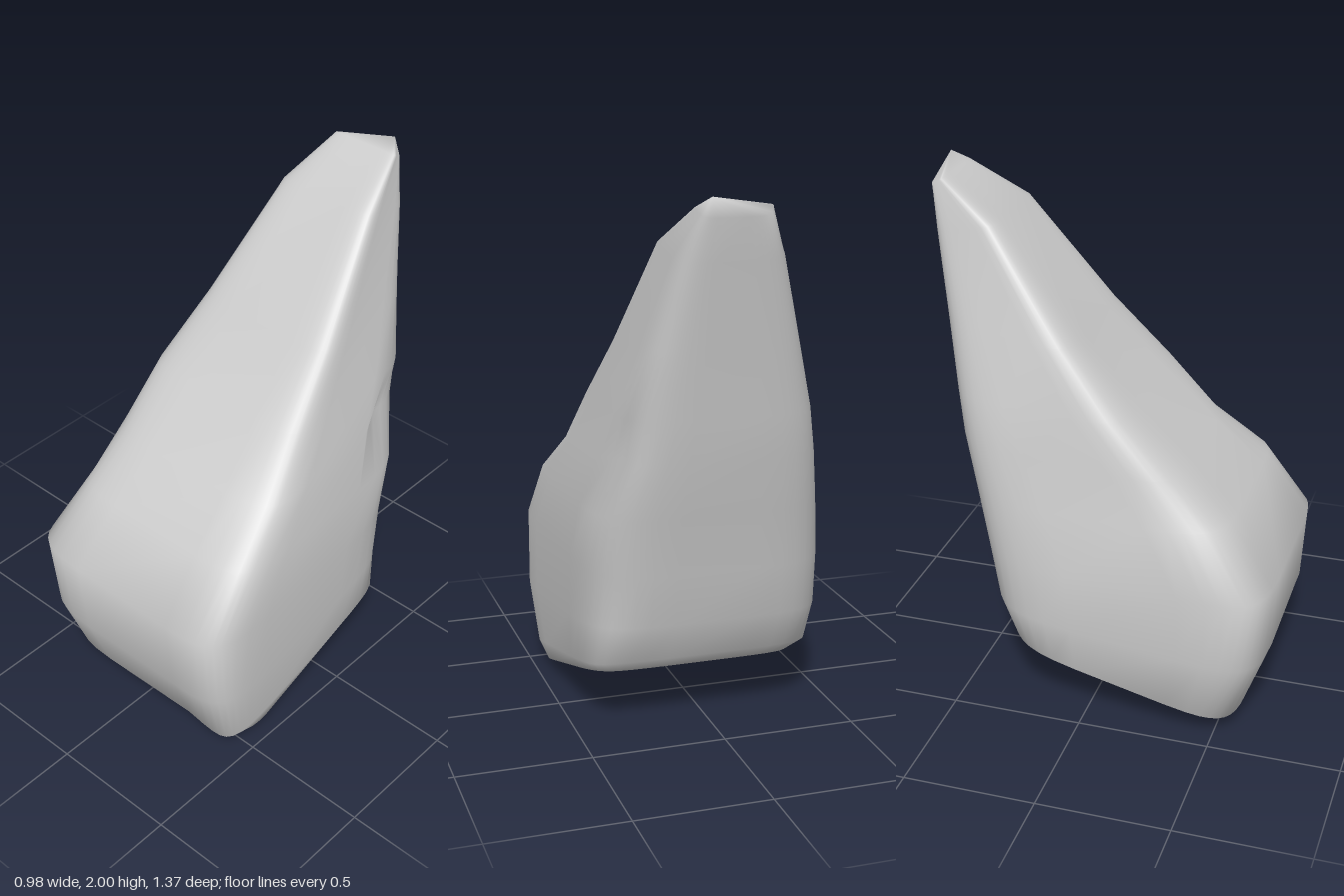
import * as THREE from 'three';

// Tilted cross-sections from base to peak:
// [front y, front z, back y, back z, front x min, front x max, back x min, back x max]
const SECTIONS = [
  [0.00, 0.49, 0.22, -0.28, -0.36, 0.46, -0.38, 0.40],
  [0.06, 0.58, 0.27, -0.33, -0.46, 0.475, -0.44, 0.45],
  [0.30, 0.67, 0.42, -0.39, -0.48, 0.50, -0.46, 0.45],
  [0.60, 0.69, 0.62, -0.43, -0.505, 0.495, -0.45, 0.45],
  [0.83, 0.52, 0.85, -0.48, -0.44, 0.465, -0.42, 0.44],
  [1.00, 0.34, 1.06, -0.53, -0.40, 0.42, -0.38, 0.40],
  [1.20, 0.14, 1.22, -0.555, -0.38, 0.37, -0.34, 0.36],
  [1.43, -0.08, 1.48, -0.60, -0.31, 0.32, -0.26, 0.29],
  [1.83, -0.40, 1.78, -0.655, -0.20, 0.24, -0.16, 0.21],
  [1.965, -0.62, 1.93, -0.685, -0.12, 0.17, -0.08, 0.15],
];
const SIDES = 40;

// Local dents and bumps: [centre, radius, offset]
const DENTS = [
  [[0.38, 1.06, -0.38], 0.10, [-0.05, 0, 0.04]],  // notch behind the left side
  [[0.06, 0.06, 0.60], 0.13, [0, 0.02, -0.04]],   // hollow under the front
  [[0.10, 0.28, 0.66], 0.12, [0, 0, -0.02]],      // shallow dip in the front
  [[0.45, 0.05, 0.55], 0.10, [0, -0.02, 0.02]],   // front foot
  [[0.41, 0.27, -0.30], 0.11, [0.03, 0.01, -0.03]], // rear foot
  [[-0.42, 0.90, 0.40], 0.14, [0.02, 0, -0.02]],
  [[0.34, 1.05, 0.26], 0.12, [-0.01, -0.02, -0.03]],
].map(([c, r, o]) => ({ c: new THREE.Vector3(...c), r, o: new THREE.Vector3(...o) }));

const lerp = THREE.MathUtils.lerp;
const rounded = (s, n) => Math.sign(s) * Math.pow(Math.abs(s), 2 / n);

// One point of a rounded, four-cornered section; front corners are the sharper
function sectionPoint([yF, zF, yB, zB, l0, r0, l1, r1], t) {
  const n = Math.sin(t) > 0 ? (Math.cos(t) > 0 ? 7 : 6) : 4.8;
  const u = rounded(Math.cos(t), n);
  const f = (1 + rounded(Math.sin(t), n)) / 2;
  const p = new THREE.Vector3(
    lerp(lerp(l1, l0, f), lerp(r1, r0, f), (u + 1) / 2),
    lerp(yB, yF, f),
    lerp(zB, zF, f));
  const start = p.clone();
  for (const { c, r, o } of DENTS) {
    p.addScaledVector(o, Math.exp(-start.distanceToSquared(c) / (r * r)));
  }
  p.y = Math.max(p.y, 0);
  return p;
}

function rockGeometry() {
  const points = [];
  const index = [];
  for (const s of SECTIONS) {
    for (let j = 0; j < SIDES; j++) points.push(sectionPoint(s, ((j + 0.5) / SIDES) * Math.PI * 2));
  }
  // Walls between neighbouring sections
  for (let i = 0; i < SECTIONS.length - 1; i++) {
    for (let j = 0; j < SIDES; j++) {
      const k = (j + 1) % SIDES;
      const a = i * SIDES + j, b = i * SIDES + k;
      index.push(a, a + SIDES, b, b, a + SIDES, b + SIDES);
    }
  }
  // Underside and peak
  const base = points.push(new THREE.Vector3(0, 0.1, 0.1)) - 1;
  const peak = points.push(new THREE.Vector3(0.12, 2, -0.68)) - 1;
  const top = (SECTIONS.length - 1) * SIDES;
  for (let j = 0; j < SIDES; j++) {
    const k = (j + 1) % SIDES;
    index.push(base, j, k, peak, top + k, top + j);
  }
  const g = new THREE.BufferGeometry().setFromPoints(points);
  g.setIndex(index);
  g.computeVertexNormals();
  return g;
}

export function createModel() {
  const group = new THREE.Group();
  group.name = 'leaningRock';
  const rock = new THREE.Mesh(rockGeometry(), new THREE.MeshStandardMaterial({ color: 0xcccccc }));
  rock.name = 'rock';
  group.add(rock);
  return group;
}
